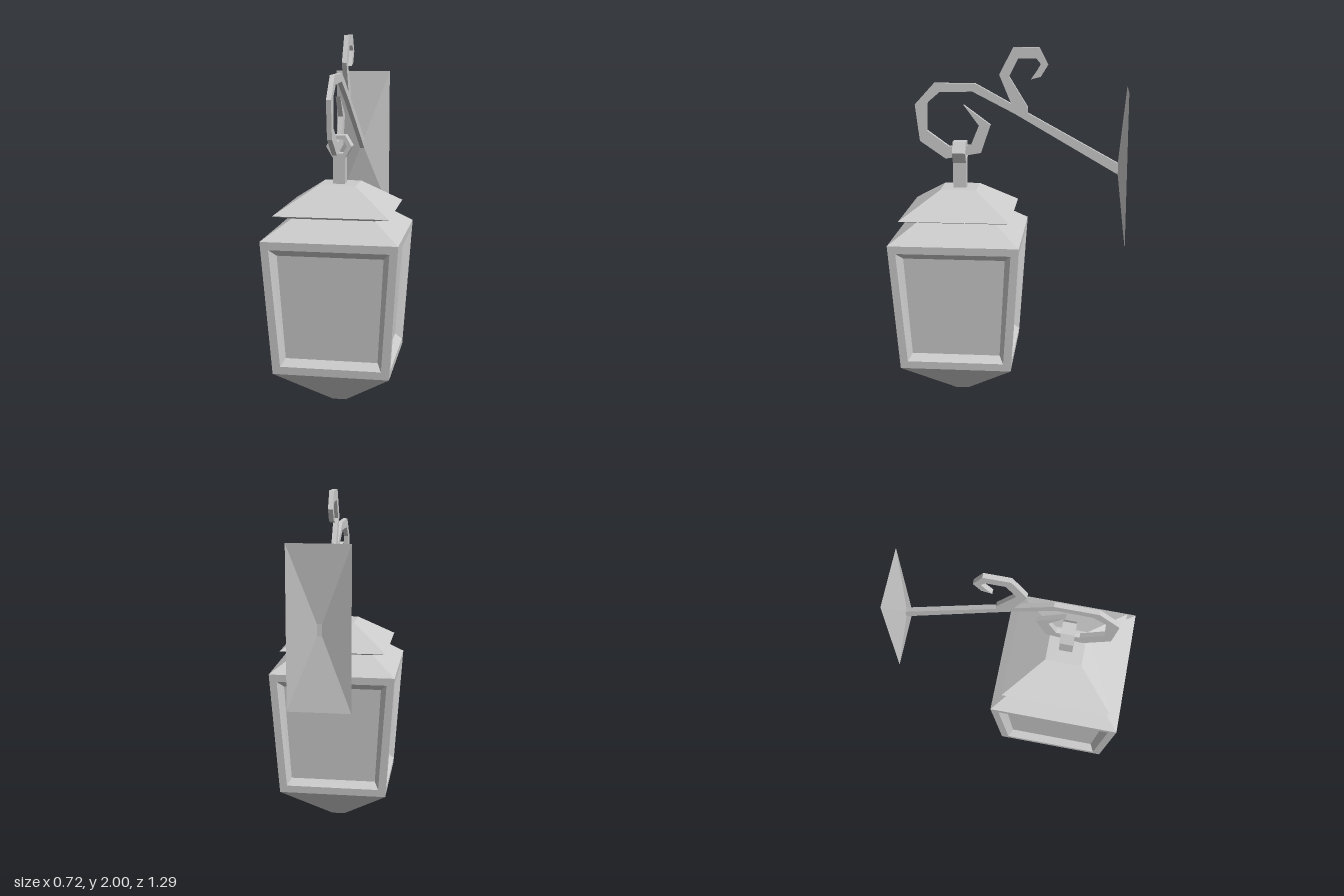
import * as THREE from 'three';

const material = new THREE.MeshStandardMaterial({ color: 0xcccccc, flatShading: true, side: THREE.DoubleSide });

function addMesh(parent, name, geometry) {
  const mesh = new THREE.Mesh(geometry, material);
  mesh.name = name;
  parent.add(mesh);
  return mesh;
}

// Joins four-cornered loops with flat faces; loops run counter-clockwise about the loft direction
function loft(loops, capStart = false, capEnd = false) {
  const pos = [];
  const quad = (a, b, c, d) => pos.push(...a, ...b, ...c, ...a, ...c, ...d);
  for (let i = 0; i + 1 < loops.length; i++) {
    const a = loops[i], b = loops[i + 1];
    for (let k = 0; k < 4; k++) {
      const n = (k + 1) % 4;
      quad(a[k], a[n], b[n], b[k]);
    }
  }
  if (capStart) quad(...[...loops[0]].reverse());
  if (capEnd) quad(...loops[loops.length - 1]);
  const geometry = new THREE.BufferGeometry();
  geometry.setAttribute('position', new THREE.Float32BufferAttribute(pos, 3));
  geometry.computeVertexNormals();
  return geometry;
}

// Horizontal square of half-width s at height y
const square = (s, y) => [[s, y, s], [s, y, -s], [-s, y, -s], [-s, y, s]];

// Half-width of the tapering lantern body at height y
const BOTTOM = 0.227, EAVE = 0.955;
const bodyHalf = (y) => 0.312 + (0.048 * (y - BOTTOM)) / (EAVE - BOTTOM);

// Trapezoid lying in the front wall of the body, set back by depth
function wallLoop(bottomHalf, y0, topHalf, y1, depth) {
  const p = (u, y) => [u, y, bodyHalf(y) - depth];
  return [p(-bottomHalf, y0), p(bottomHalf, y0), p(topHalf, y1), p(-topHalf, y1)];
}

// Outline given as [z, y], extruded into a thin bar across x
function flatBar(points) {
  const shape = new THREE.Shape(points.map(([z, y]) => new THREE.Vector2(z, y)));
  return new THREE.ExtrudeGeometry(shape, { depth: 0.026, bevelEnabled: false })
    .rotateY(-Math.PI / 2)
    .translate(-0.002, 0, 0);
}

function createLantern() {
  const lantern = new THREE.Group();
  lantern.name = 'lantern';
  lantern.position.z = 0.287;

  // Pointed base and the two stacked roofs
  addMesh(lantern, 'base', loft([square(0.037, 0), square(0.312, BOTTOM)], true));
  addMesh(lantern, 'lowerRoof', loft([square(0.36, EAVE), square(0.22, 1.055)]));
  addMesh(lantern, 'upperRoof', loft([square(0.22, 1.055), square(0.305, 1.08), square(0.1, 1.217)], false, true));

  // Four walls, each a frame with a splayed recess and a pane
  for (let i = 0; i < 4; i++) {
    const wall = new THREE.Group();
    wall.name = 'wall';
    wall.rotation.y = (i * Math.PI) / 2;
    const outer = wallLoop(0.312, BOTTOM, 0.36, EAVE, 0);
    const opening = wallLoop(0.27, 0.27, 0.315, 0.912, 0);
    const inset = wallLoop(0.247, 0.307, 0.28, 0.875, 0.04);
    addMesh(wall, 'windowFrame', loft([outer, opening, inset]));
    addMesh(wall, 'windowPane', loft([inset], false, true));
    lantern.add(wall);
  }

  // Stem and hexagonal eye it hangs from
  const stem = new THREE.BoxGeometry(0.064, 0.16, 0.074).translate(0, 1.29, 0);
  addMesh(lantern, 'hangerStem', stem);
  const hexagon = (r) => Array.from({ length: 6 }, (_, k) =>
    new THREE.Vector2(r * Math.cos((k * Math.PI) / 3), r * Math.sin((k * Math.PI) / 3)));
  const eye = new THREE.Shape(hexagon(0.069));
  eye.holes.push(new THREE.Path(hexagon(0.043)));
  const ring = new THREE.ExtrudeGeometry(eye, { depth: 0.074, bevelEnabled: false });
  addMesh(lantern, 'hangerRing', ring.translate(0, 1.418, -0.037));
  return lantern;
}

function createBracket() {
  const bracket = new THREE.Group();
  bracket.name = 'bracket';

  // Sloping arm ending in a large hook
  addMesh(bracket, 'arm', flatBar([
    [-0.6, 1.363], [0.2, 1.8], [0.43, 1.8], [0.54, 1.68], [0.515, 1.475], [0.37, 1.375],
    [0.17, 1.41], [0.115, 1.57], [0.265, 1.68], [0.18, 1.565], [0.225, 1.455], [0.35, 1.445],
    [0.475, 1.535], [0.47, 1.69], [0.4, 1.75], [0.215, 1.755], [-0.02, 1.635], [-0.6, 1.3],
  ]));

  // Small scroll rising from the arm
  addMesh(bracket, 'scroll', flatBar([
    [-0.01, 1.67], [0.065, 1.85], [-0.013, 2], [-0.155, 2], [-0.205, 1.905], [-0.165, 1.84],
    [-0.11, 1.825], [-0.145, 1.875], [-0.165, 1.91], [-0.14, 1.94], [-0.04, 1.94],
    [0.01, 1.84], [-0.095, 1.67], [-0.095, 1.63], [-0.05, 1.63],
  ]));

  // Wall plate: a shallow open pyramid meeting the arm
  const rect = (x0, x1, y0, y1, z) => [[x0, y0, z], [x1, y0, z], [x1, y1, z], [x0, y1, z]];
  addMesh(bracket, 'wallPlate', loft([
    rect(-0.184, 0.15, 0.91, 1.775, -0.646),
    rect(-0.028, -0.002, 1.3, 1.363, -0.6),
  ]));
  return bracket;
}

export function createModel() {
  const model = new THREE.Group();
  model.name = 'wallLantern';
  model.add(createLantern(), createBracket());
  return model;
}
